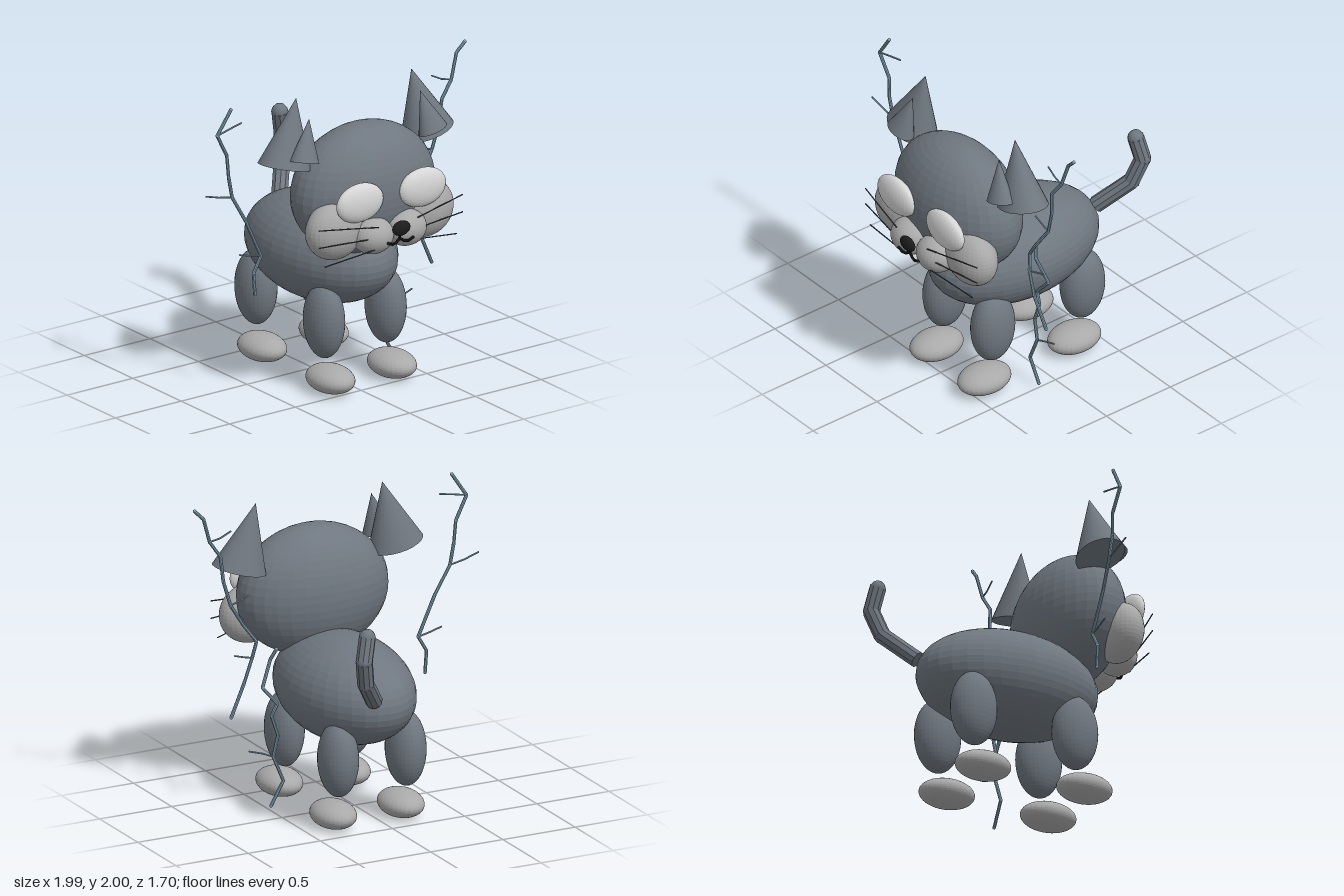
import * as THREE from 'three';

const mat = (name, color) => {
  const m = new THREE.MeshStandardMaterial({ color });
  m.name = name;
  return m;
};

export function createModel() {
  const fur = mat('slate fur', 0x6f7780);
  const pale = mat('pale grey', 0xa9a9a9);
  const eyeWhite = mat('eye white', 0xd6d6d6);
  const black = mat('black', 0x1c1c1c);
  const whiskerGrey = mat('whisker grey', 0x444648);
  const boltBlue = mat('bolt blue', 0x86a6b8);

  const model = new THREE.Group();
  model.name = 'catWithLightning';
  const cat = new THREE.Group();
  cat.name = 'cat';
  cat.position.x = 0.072;
  model.add(cat);

  const add = (parent, name, geometry, material) => {
    const mesh = new THREE.Mesh(geometry, material);
    mesh.name = name;
    parent.add(mesh);
    return mesh;
  };

  // Faceted ellipsoid from a centre and three radii
  const ellipsoid = (name, material, centre, radii, parent = cat) => {
    let g = new THREE.SphereGeometry(1, 32, 24);
    g.scale(...radii);
    g = g.toNonIndexed();
    g.computeVertexNormals();
    add(parent, name, g, material).position.set(...centre);
  };

  // Chain of straight rods with rounded joints
  const rods = (parent, name, points, radius, material, sides = 8, capStart = true) => {
    const group = new THREE.Group();
    group.name = name;
    parent.add(group);
    const v = points.map((p) => new THREE.Vector3(...p));
    const up = new THREE.Vector3(0, 1, 0);
    v.forEach((p, i) => {
      if (i > 0 || capStart) {
        add(group, name + 'Joint', new THREE.SphereGeometry(radius, sides, 6), material).position.copy(p);
      }
      if (i === v.length - 1) return;
      const d = v[i + 1].clone().sub(p);
      let g = new THREE.CylinderGeometry(radius, radius, d.length(), sides).toNonIndexed();
      g.computeVertexNormals();
      const rod = add(group, name + 'Rod', g, material);
      rod.position.copy(p).addScaledVector(d, 0.5);
      rod.quaternion.setFromUnitVectors(up, d.normalize());
    });
  };

  // Cone placed by its tip, leaning out from the head
  const ear = (name, side, tip, rx, rz, height, lean, pitch) => {
    const g = new THREE.ConeGeometry(1, height, 24);
    g.translate(0, -height / 2, 0);
    g.scale(rx, 1, rz);
    const mesh = add(cat, name, g, fur);
    mesh.position.set(side * tip[0], tip[1], tip[2]);
    mesh.rotation.set(pitch, 0, -side * lean);
  };

  // Body and head
  ellipsoid('body', fur, [0, 0.79, -0.01], [0.387, 0.33, 0.602]);
  ellipsoid('head', fur, [0, 1.298, 0.415], [0.505, 0.417, 0.303]);

  for (const s of [1, -1]) {
    const side = s > 0 ? 'left' : 'right';
    // Face
    ellipsoid(side + 'Cheek', pale, [s * 0.34, 1.138, 0.59], [0.202, 0.188, 0.137]);
    ellipsoid(side + 'Muzzle', pale, [s * 0.125, 1.085, 0.69], [0.137, 0.115, 0.12]);
    ellipsoid(side + 'Eye', eyeWhite, [s * 0.238, 1.328, 0.712], [0.174, 0.125, 0.058]);
    // Ears
    ear(side + 'Ear', s, [0.438, 1.942, 0.326], 0.178, 0.147, 0.43, -0.245, -0.05);
    ear(side + 'InnerEar', s, [0.422, 1.836, 0.438], 0.1, 0.075, 0.27, -0.25, -0.16);
    // Legs and paws
    ellipsoid(side + 'FrontLeg', fur, [s * 0.234, 0.451, 0.337], [0.118, 0.244, 0.15]);
    ellipsoid(side + 'HindLeg', fur, [s * 0.234, 0.463, -0.366], [0.122, 0.243, 0.151]);
    ellipsoid(side + 'FrontPaw', pale, [s * 0.234, 0.09, 0.403], [0.135, 0.086, 0.183]);
    ellipsoid(side + 'HindPaw', pale, [s * 0.234, 0.09, -0.302], [0.135, 0.086, 0.183]);
    // Whiskers: inner and outer heights
    for (const [y0, y1, reach] of [[1.17, 1.21, 0.545], [1.1, 1.097, 0.545], [1.03, 0.965, 0.5]]) {
      rods(cat, side + 'Whisker', [[s * 0.15, y0, 0.785], [s * reach, y1, 0.71]], 0.004, whiskerGrey, 6);
    }
  }

  // Nose and mouth
  ellipsoid('nose', black, [0, 1.142, 0.817], [0.066, 0.048, 0.029]);
  rods(cat, 'mouth', [[-0.095, 1.06, 0.81], [-0.06, 1.046, 0.81], [-0.03, 1.05, 0.805], [0, 1.072, 0.8],
    [0.03, 1.05, 0.805], [0.06, 1.046, 0.81], [0.095, 1.06, 0.81]], 0.009, black);
  rods(cat, 'mouthLine', [[0, 1.072, 0.8], [0, 1.12, 0.805]], 0.009, black);

  // Tail
  rods(model, 'tail', [[0.17, 0.88, -0.58], [0.315, 1.065, -0.745], [0.355, 1.23, -0.8], [0.32, 1.375, -0.775]],
    0.053, fur, 10, false);

  // Lightning bolts: main path followed by thin side forks
  const bolts = [
    { name: 'rightBolt',
      path: [[-0.81, 1.94, 0.255], [-0.91, 1.79, 0.25], [-0.83, 1.64, 0.24], [-0.82, 1.5, 0.245], [-0.79, 1.36, 0.24],
        [-0.69, 1.18, 0.25], [-0.57, 0.93, 0.24], [-0.63, 0.83, 0.245], [-0.62, 0.69, 0.245]],
      forks: [[[-0.91, 1.79, 0.25], [-0.82, 1.81, 0.245], [-0.72, 1.83, 0.24]],
        [[-0.79, 1.36, 0.24], [-0.89, 1.38, 0.24], [-0.99, 1.41, 0.245]],
        [[-0.57, 0.93, 0.24], [-0.64, 0.945, 0.24], [-0.73, 0.97, 0.24]]] },
    { name: 'leftBolt',
      path: [[0.98, 1.99, 0.24], [0.92, 1.93, 0.235], [0.87, 1.77, 0.25], [0.79, 1.66, 0.26], [0.775, 1.5, 0.25],
        [0.73, 1.34, 0.24], [0.63, 1.19, 0.26], [0.55, 1.08, 0.24], [0.57, 0.97, 0.26], [0.62, 0.82, 0.265],
        [0.72, 0.61, 0.25]],
      forks: [[[0.87, 1.77, 0.25], [0.8, 1.785, 0.245], [0.73, 1.82, 0.24]],
        [[0.73, 1.34, 0.24], [0.67, 1.36, 0.24], [0.605, 1.385, 0.24]],
        [[0.57, 0.97, 0.26], [0.63, 0.985, 0.255], [0.695, 1.005, 0.25]]] },
    { name: 'lowerBolt',
      path: [[0.47, 1.05, 0.13], [0.5, 0.98, 0.155], [0.575, 0.82, 0.115], [0.47, 0.7, 0.12], [0.505, 0.625, 0.13],
        [0.46, 0.49, 0.13], [0.49, 0.355, 0.135], [0.42, 0.19, 0.135], [0.505, 0.04, 0.135]],
      forks: [[[0.49, 0.355, 0.135], [0.56, 0.385, 0.14], [0.655, 0.415, 0.135]]] },
  ];
  for (const { name, path, forks } of bolts) {
    rods(model, name, path, 0.011, boltBlue);
    forks.forEach((f) => rods(model, name + 'Fork', f, 0.0055, boltBlue, 6));
  }

  return model;
}
